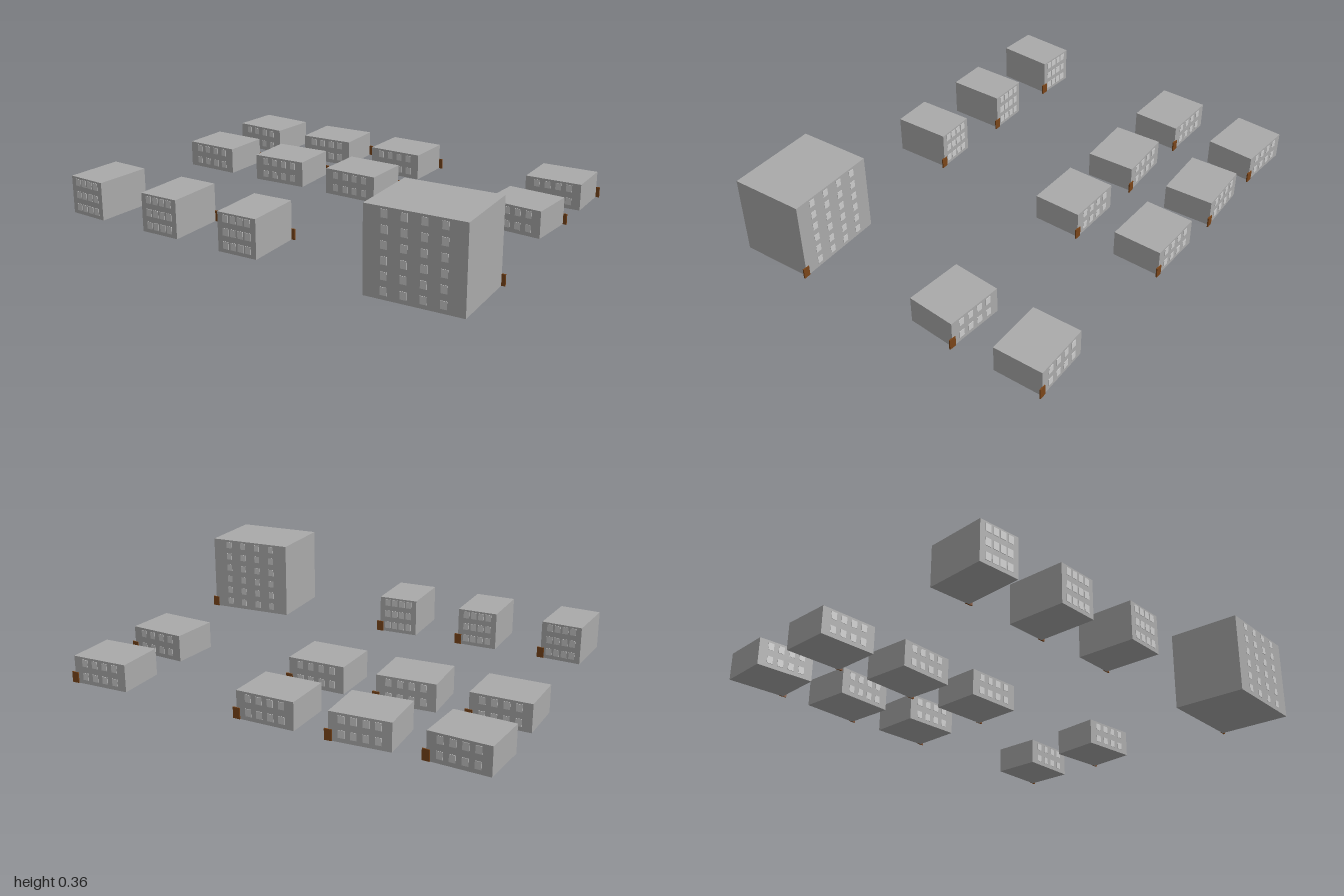
import * as THREE from 'three';

const wall = new THREE.MeshStandardMaterial({ name: 'concrete wall', color: 0xaaaaaa });
const glass = new THREE.MeshStandardMaterial({ name: 'pale window', color: 0xcccccc });
const wood = new THREE.MeshStandardMaterial({ name: 'brown door', color: 0x7a4519 });

function addBox(parent, name, material, size, position) {
  const mesh = new THREE.Mesh(new THREE.BoxGeometry(...size), material);
  mesh.name = name;
  mesh.position.set(...position);
  parent.add(mesh);
}

// One block: plain box, window grid on front and back, door at the back corner
function makeBuilding({ name, w, h, d, floors }) {
  const building = new THREE.Group();
  building.name = name;
  addBox(building, 'walls', wall, [w, h, d], [0, h / 2, 0]);

  const columns = 4;
  const storey = h / floors;
  for (const side of [1, -1]) {
    for (let row = 0; row < floors; row++) {
      for (let col = 0; col < columns; col++) {
        const x = ((col + 1) / (columns + 1) - 0.5) * w * 0.97;
        const y = (row + 0.5) * storey + 0.004;
        addBox(building, side > 0 ? 'frontWindow' : 'backWindow', glass,
          [0.027, 0.032, 0.004], [x, y, side * d / 2]);
      }
    }
  }
  addBox(building, 'door', wood, [0.032, 0.048, 0.006], [w / 2, 0.024, -d / 2 - 0.001]);
  return building;
}

export function createModel() {
  const town = new THREE.Group();
  town.name = 'town';

  const low = { name: 'lowBlock', w: 0.262, h: 0.122, d: 0.223, floors: 2 };
  const mid = { name: 'midBlock', w: 0.185, h: 0.172, d: 0.26, floors: 3 };
  const tower = { name: 'tower', w: 0.412, h: 0.36, d: 0.333, floors: 6 };

  // Street grid: each lot holds a building type and its slight turn
  const columnsX = [-0.866, -0.454, -0.043, 0.783];
  const rows = [
    { z: -0.652, lots: [[low, -0.055], [low, 0.06], [low, 0], [low, 0.035]] },
    { z: -0.24, lots: [[low, 0], [low, 0.062], [low, 0.005], [low, -0.06]] },
    { z: 0.583, lots: [[mid, -0.04], [mid, 0.025], [mid, 0.05], [tower, 0.062]] },
  ];
  for (const { z, lots } of rows) {
    lots.forEach(([type, turn], i) => {
      const building = makeBuilding(type);
      building.position.set(columnsX[i], 0, z);
      building.rotation.y = turn;
      town.add(building);
    });
  }
  return town;
}
